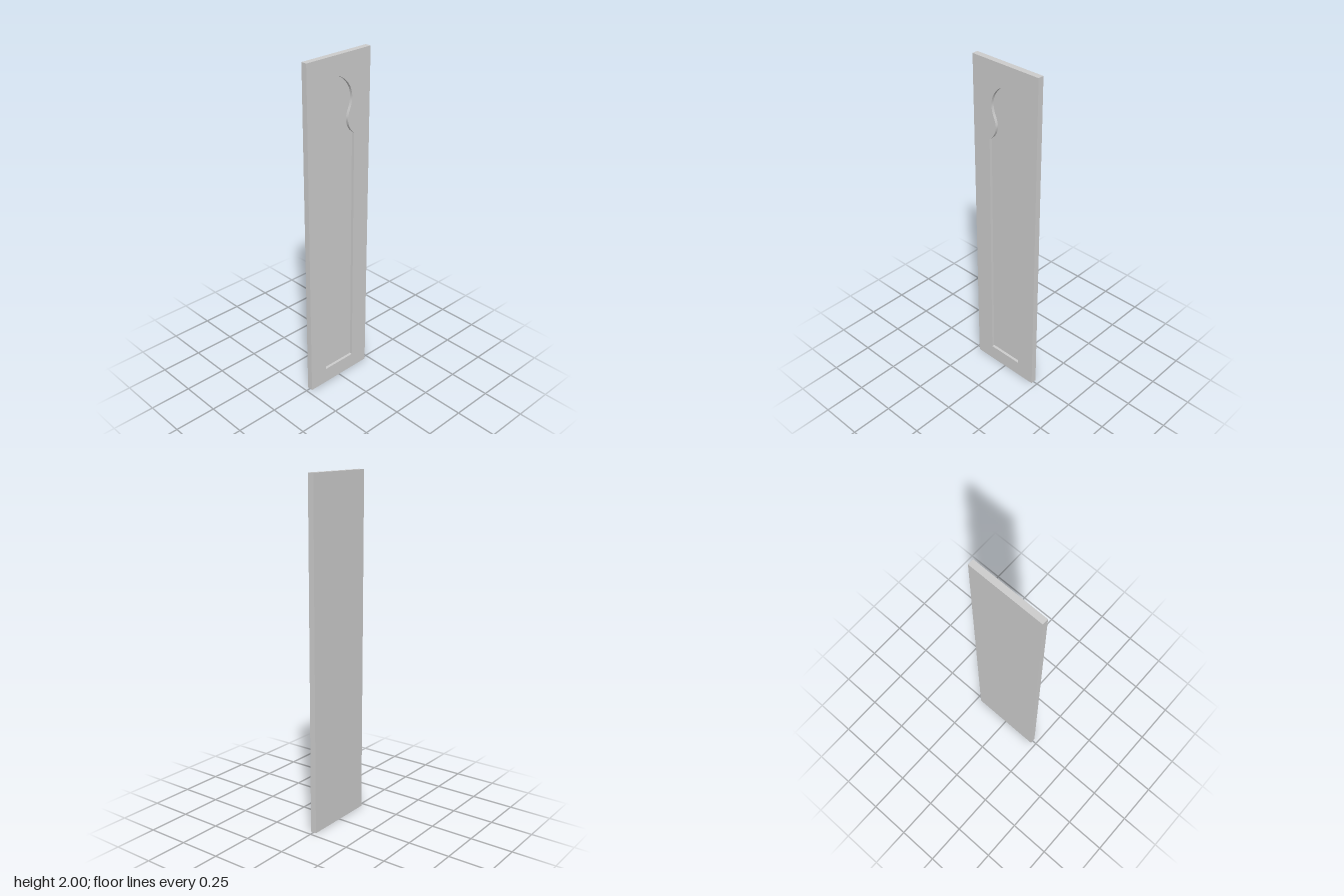
import * as THREE from 'three';
import { toCreasedNormals } from 'three/addons/utils/BufferGeometryUtils.js';

const W = 0.444, H = 2, D = 0.035;   // slab size
const FRONT = D / 2, FLOOR = 0.001;  // z of the front face and of the recess floor

// Keyhole-arch outline of the recess, counter-clockwise from the lower left
function recessOutline() {
  const v = (x, y) => new THREE.Vector2(x, y);
  const half = new THREE.SplineCurve([
    v(0.109, 1.552), v(0.085, 1.575), v(0.069, 1.605), v(0.063, 1.64), v(0.071, 1.675),
    v(0.085, 1.71), v(0.093, 1.75), v(0.088, 1.79), v(0.072, 1.825), v(0.042, 1.86), v(0, 1.888),
  ]).getPoints(30);
  const mirrored = half.slice(0, -1).reverse().map(p => v(-p.x, p.y));
  return [v(-0.109, 0.095), v(0.109, 0.095), ...half, ...mirrored];
}

// Inward-facing walls between the recess floor and the front face
function wallGeometry(outline) {
  const pos = [];
  outline.forEach((a, i) => {
    const b = outline[(i + 1) % outline.length];
    pos.push(a.x, a.y, FLOOR, a.x, a.y, FRONT, b.x, b.y, FRONT);
    pos.push(a.x, a.y, FLOOR, b.x, b.y, FRONT, b.x, b.y, FLOOR);
  });
  const g = new THREE.BufferGeometry();
  g.setAttribute('position', new THREE.Float32BufferAttribute(pos, 3));
  return toCreasedNormals(g, Math.PI / 6);
}

export function createModel() {
  const group = new THREE.Group();
  group.name = 'recessedPanel';
  const material = new THREE.MeshStandardMaterial({ color: 0xcccccc });
  const add = (name, geometry, z = 0) => {
    const mesh = new THREE.Mesh(geometry, material);
    mesh.name = name;
    mesh.position.z = z;
    group.add(mesh);
  };
  const outline = recessOutline();

  // Slab back and edges: a box without its front face
  const shell = new THREE.BoxGeometry(W, H, D).translate(0, H / 2, 0);
  const index = Array.from(shell.index.array);
  index.splice(24, 6);
  shell.setIndex(index);
  shell.clearGroups();
  add('slabBackAndEdges', shell);

  // Front face with the arch cut out
  const face = new THREE.Shape([
    new THREE.Vector2(-W / 2, 0), new THREE.Vector2(W / 2, 0),
    new THREE.Vector2(W / 2, H), new THREE.Vector2(-W / 2, H),
  ]);
  face.holes.push(new THREE.Path(outline));
  add('frontFace', new THREE.ShapeGeometry(face), FRONT);

  // Sunken arch
  add('recessFloor', new THREE.ShapeGeometry(new THREE.Shape(outline)), FLOOR);
  add('recessWalls', wallGeometry(outline));
  return group;
}
